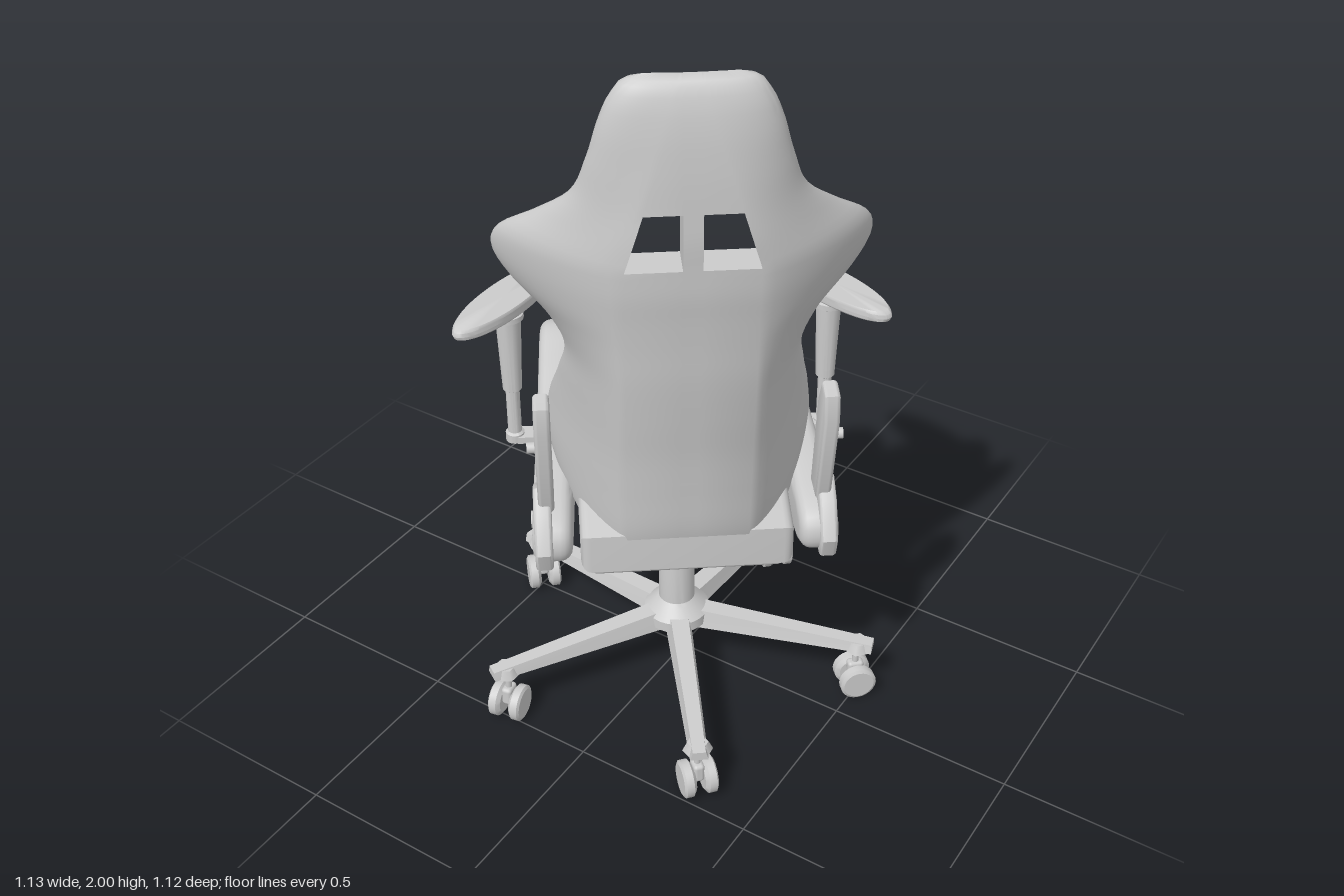
import * as THREE from 'three';
import { mergeVertices, toCreasedNormals } from 'three/addons/utils/BufferGeometryUtils.js';
import { RoundedBoxGeometry } from 'three/addons/geometries/RoundedBoxGeometry.js';

const grey = new THREE.MeshStandardMaterial({ color: 0xcccccc, side: THREE.DoubleSide });

function add(parent, name, geometry, x = 0, y = 0, z = 0) {
  const mesh = new THREE.Mesh(geometry, grey);
  mesh.name = name;
  mesh.position.set(x, y, z);
  parent.add(mesh);
  return mesh;
}

// Side profile of [z, y] points extruded across x, centred on x = 0
function sideExtrude(points, width, bevel, smooth = false) {
  const pts = points.map(([z, y]) => new THREE.Vector2(z, y));
  const shape = new THREE.Shape(smooth
    ? new THREE.CatmullRomCurve3(pts.map(p => new THREE.Vector3(p.x, p.y, 0)), true, 'centripetal')
      .getPoints(60).slice(0, -1).map(p => new THREE.Vector2(p.x, p.y))
    : pts);
  const depth = width - 2 * bevel;
  const geo = new THREE.ExtrudeGeometry(shape, {
    depth, bevelThickness: bevel, bevelSize: bevel, bevelOffset: -bevel, bevelSegments: 4,
  });
  geo.translate(0, 0, -depth / 2).rotateY(-Math.PI / 2);
  return toCreasedNormals(geo, 0.7);
}

// Backrest shell: curved cross-sections stacked by height, with two slots in the head
function backrestGeometry() {
  // height: half width, back surface z, wing edge z, thickness
  const table = [
    [0.68, 0.24, -0.355, -0.24, 0.06], [0.76, 0.30, -0.375, -0.12, 0.10], [0.88, 0.335, -0.39, -0.06, 0.11],
    [1.0, 0.325, -0.405, -0.085, 0.11], [1.12, 0.30, -0.425, -0.16, 0.10], [1.25, 0.285, -0.445, -0.235, 0.09],
    [1.34, 0.33, -0.455, -0.23, 0.09], [1.42, 0.405, -0.465, -0.205, 0.09], [1.49, 0.44, -0.475, -0.20, 0.09],
    [1.56, 0.42, -0.48, -0.235, 0.09], [1.63, 0.335, -0.485, -0.30, 0.09], [1.70, 0.262, -0.485, -0.36, 0.09],
    [1.80, 0.222, -0.483, -0.395, 0.09], [1.90, 0.193, -0.475, -0.41, 0.09], [1.96, 0.165, -0.462, -0.415, 0.075],
    [1.99, 0.135, -0.447, -0.417, 0.045], [2.0, 0.10, -0.43, -0.42, 0.01],
  ];
  const section = new THREE.CubicInterpolant(table.map(r => r[0]), table.flatMap(r => r.slice(1)), 4);
  const side = 14, centre = 0.022;
  const rows = [];
  for (let i = 0; i <= 66; i++) rows.push(Math.min(2, 0.68 + i * 0.02));
  rows.splice(66, 0, 1.99);

  const grid = rows.map((y, j) => {
    const [half, back, edge, thick] = [...section.evaluate(y)];
    const flat = Math.min(0.6 * half, 0.15 - Math.max(0, y - 1.56) * 0.3);
    const cap = j === 0 || j === rows.length - 1;
    const right = [[centre, 0]];
    for (let k = 0; k <= side; k++) {
      const t = Math.sin(k / side * Math.PI / 2);
      right.push([flat + (half - flat) * t, t]);
    }
    return [...right.map(([x, t]) => [-x, t]).reverse(), ...right].map(([x, t]) => {
      const z = THREE.MathUtils.lerp(back + thick / 2, edge, t ** 1.3);
      const h = cap ? 0 : thick / 2 * Math.sqrt(Math.max(0, 1 - t ** 4));
      return { front: [x, y, z + h], back: [x, y, z - h] };
    });
  });

  const pos = [];
  const quad = (a, b, c, d) => pos.push(...a, ...b, ...c, ...a, ...c, ...d);
  const r0 = rows.findIndex(y => y > 1.555), r1 = rows.findIndex(y => y > 1.695);
  const slots = [side, side + 2]; // columns left open
  for (let j = 0; j < rows.length - 1; j++) {
    for (let i = 0; i < grid[0].length - 1; i++) {
      if (slots.includes(i) && j >= r0 && j < r1) continue;
      const [a, b, c, d] = [grid[j][i], grid[j][i + 1], grid[j + 1][i + 1], grid[j + 1][i]];
      quad(a.front, b.front, c.front, d.front);
      quad(b.back, a.back, d.back, c.back);
    }
  }
  for (const i of slots) {
    const loop = [];
    for (let j = r0; j <= r1; j++) loop.push(grid[j][i + 1]);
    for (let j = r1; j >= r0; j--) loop.push(grid[j][i]);
    loop.forEach((p, k) => {
      const q = loop[(k + 1) % loop.length];
      quad(p.front, q.front, q.back, p.back);
    });
  }
  const geo = new THREE.BufferGeometry();
  geo.setAttribute('position', new THREE.Float32BufferAttribute(pos, 3));
  return toCreasedNormals(mergeVertices(geo, 1e-5), 0.9);
}

function buildBase() {
  const base = new THREE.Group();
  base.name = 'base';
  // Gas column and hub, turned in one profile
  const column = [[0, 0.15], [0.07, 0.15], [0.09, 0.17], [0.09, 0.2], [0.06, 0.23], [0.05, 0.24], [0.048, 0.39],
    [0.042, 0.44], [0.034, 0.44], [0.034, 0.56], [0.018, 0.56], [0.018, 0.6], [0.03, 0.61], [0.03, 0.64]];
  add(base, 'gasColumn', toCreasedNormals(new THREE.LatheGeometry(column.map(p => new THREE.Vector2(...p)), 28), 0.5));

  // Tapered leg
  const legGeo = new THREE.BoxGeometry(0.52, 1, 1);
  const p = legGeo.attributes.position;
  for (let i = 0; i < p.count; i++) {
    const outer = p.getX(i) > 0, top = p.getY(i) > 0;
    p.setXYZ(i, outer ? 0.555 : 0.04, top ? (outer ? 0.182 : 0.212) : 0.157,
      Math.sign(p.getZ(i)) * (outer ? 0.024 : 0.036) * (top ? 0.7 : 1));
  }
  legGeo.computeVertexNormals();
  const wheelGeo = toCreasedNormals(new THREE.LatheGeometry([[0, -0.017], [0.038, -0.017], [0.05, -0.008], [0.05, 0.012],
    [0.042, 0.017], [0, 0.017]].map(q => new THREE.Vector2(...q)), 24).rotateZ(-Math.PI / 2), 0.5);

  // leg direction, wheel axle direction (degrees)
  for (const [angle, axle] of [[-18, 45], [51.4, -50], [121, -12], [186, -45], [273, -45]]) {
    const leg = new THREE.Group();
    leg.name = 'baseLeg';
    leg.rotation.y = -THREE.MathUtils.degToRad(angle);
    add(leg, 'legArm', legGeo);
    add(leg, 'legTip', new THREE.CylinderGeometry(0.028, 0.04, 0.026, 6), 0.515, 0.168, 0);
    const caster = new THREE.Group();
    caster.name = 'caster';
    caster.position.x = 0.51;
    caster.rotation.y = THREE.MathUtils.degToRad(angle - axle);
    add(caster, 'casterStem', new THREE.CylinderGeometry(0.009, 0.009, 0.08, 12), 0, 0.125, 0);
    add(caster, 'casterFork', new RoundedBoxGeometry(0.03, 0.055, 0.045, 2, 0.01), 0, 0.078, 0);
    for (const s of [-1, 1]) add(caster, 'wheel', wheelGeo, s * 0.029, 0.053, 0).rotation.y = s < 0 ? Math.PI : 0;
    leg.add(caster);
    base.add(leg);
  }
  return base;
}

function buildSeat() {
  const seat = new THREE.Group();
  seat.name = 'seat';
  const cushion = sideExtrude([[-0.37, 0.64], [-0.37, 0.75], [-0.2, 0.785], [0.1, 0.79], [0.35, 0.82], [0.46, 0.815],
    [0.505, 0.76], [0.495, 0.69], [0.46, 0.655]], 0.53, 0.025);
  add(seat, 'cushion', cushion);
  add(seat, 'seatPan', new RoundedBoxGeometry(0.48, 0.05, 0.8, 2, 0.015), 0, 0.645, 0.04);
  add(seat, 'tiltMechanism', new RoundedBoxGeometry(0.2, 0.05, 0.4, 2, 0.012), 0, 0.61, 0.13);
  add(seat, 'armCrossbar', new THREE.BoxGeometry(0.84, 0.02, 0.055), 0, 0.635, 0.235);

  // Side bolsters, leaning inward toward the front
  for (const s of [-1, 1]) {
    const geo = sideExtrude([[-0.33, 0.65], [-0.33, 0.73], [-0.15, 0.785], [0.1, 0.815], [0.28, 0.865], [0.4, 0.89],
      [0.48, 0.85], [0.52, 0.75], [0.515, 0.68], [0.47, 0.645], [0.1, 0.635]], 0.1, 0.03, true);
    const p = geo.attributes.position;
    for (let i = 0; i < p.count; i++) p.setX(i, p.getX(i) + s * (0.308 - 0.05 * (p.getZ(i) - 0.2)));
    add(seat, 'seatBolster', geo);
  }
  return seat;
}

function buildSideParts(s) {
  const side = new THREE.Group();
  side.name = s > 0 ? 'leftSide' : 'rightSide';
  // Recline hinge
  add(side, 'hingePlate', sideExtrude([[-0.34, 0.63], [-0.36, 0.69], [-0.31, 0.78], [-0.25, 0.82], [-0.2, 0.8],
    [-0.14, 0.72], [-0.05, 0.69], [-0.05, 0.64]], 0.045, 0.01), s * 0.355, 0, 0);
  add(side, 'hingeArm', sideExtrude([[-0.285, 0.77], [-0.2, 0.77], [-0.25, 1.06], [-0.29, 1.13], [-0.345, 1.12],
    [-0.355, 1.05]], 0.04, 0.01), s * 0.345, 0, 0);
  for (const [r, y, z] of [[0.022, 0.715, -0.24], [0.014, 0.97, -0.285]])
    add(side, 'hingeBolt', new THREE.CylinderGeometry(r, r, 0.06, 20).rotateZ(Math.PI / 2), s * 0.355, y, z);

  // Armrest post and angled oval pad
  const post = [[0, 0.625], [0.026, 0.625], [0.026, 0.65], [0.019, 0.655], [0.019, 0.79], [0.026, 0.795], [0.034, 1.015],
    [0.042, 1.02], [0.042, 1.035], [0.028, 1.04], [0.028, 1.065]].map(q => new THREE.Vector2(...q));
  add(side, 'armPost', toCreasedNormals(new THREE.LatheGeometry(post, 20), 0.5), s * 0.427, 0, 0.235);
  const rim = [[0, -0.017], [0.9, -0.017], [0.98, -0.01], [1, 0], [0.98, 0.01], [0.93, 0.017], [0, 0.017]];
  const pad = new THREE.LatheGeometry(rim.map(q => new THREE.Vector2(...q)), 48).scale(0.063, 1, 0.212);
  add(side, 'armPad', toCreasedNormals(pad, 0.8), s * 0.43, 1.077, 0.226).rotation.y = -s * 0.64;
  return side;
}

export function createModel() {
  const model = new THREE.Group();
  model.name = 'swivelChair';
  model.position.set(0.01, 0, 0.05);
  model.add(buildBase());

  // Upper part swivelled on the base
  const upper = new THREE.Group();
  upper.name = 'upperChair';
  upper.rotation.y = THREE.MathUtils.degToRad(217.2);
  upper.add(buildSeat(), buildSideParts(1), buildSideParts(-1));
  add(upper, 'backrest', backrestGeometry());
  add(upper, 'lumbarPillow', new RoundedBoxGeometry(0.42, 0.26, 0.13, 5, 0.055), 0, 0.9, -0.22).rotation.x = -0.3;
  model.add(upper);

  const root = new THREE.Group();
  root.add(model);
  return root;
}
